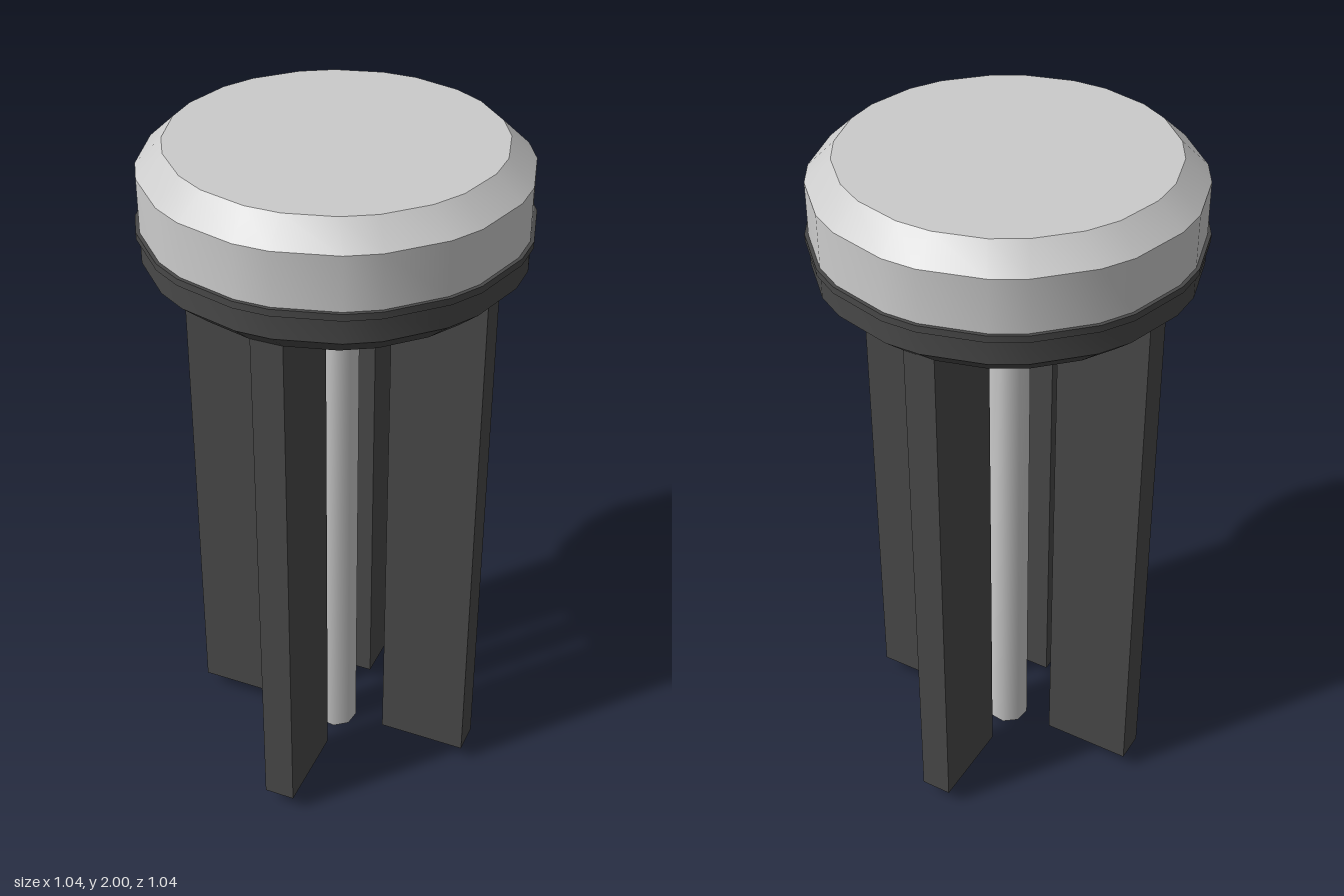
import * as THREE from 'three';
import { toCreasedNormals } from 'three/addons/utils/BufferGeometryUtils.js';

const light = new THREE.MeshStandardMaterial({ color: 0xcccccc });
const dark = new THREE.MeshStandardMaterial({ color: 0x484848 });

// Turned solid whose outline is a twelve-sided ring with narrow cut corners;
// the narrow facets keep the same width at every radius.
function facetedTurning(profile) {
  const points = profile.map(([r, y]) => new THREE.Vector2(r, y));
  const geometry = new THREE.LatheGeometry(points, 24);
  const pos = geometry.attributes.position;
  for (let i = 0; i <= 24; i++) {
    const sector = Math.floor(i / 2) * Math.PI / 6;
    const sign = i % 2 ? 1 : -1;
    points.forEach((p, j) => {
      const angle = sector + (p.x > 0 ? sign * Math.asin(0.048 / p.x) : 0);
      pos.setXYZ(i * points.length + j, p.x * Math.sin(angle), p.y, p.x * Math.cos(angle));
    });
  }
  return toCreasedNormals(geometry, 0.6);
}

function addMesh(parent, name, geometry, material) {
  const mesh = new THREE.Mesh(geometry, material);
  mesh.name = name;
  parent.add(mesh);
  return mesh;
}

export function createModel() {
  const model = new THREE.Group();
  model.name = 'finnedPlug';

  // Light cap with a chamfered top
  addMesh(model, 'cap', facetedTurning([
    [0, 1.785], [0.513, 1.785], [0.513, 1.935], [0.443, 2], [0, 2],
  ]), light);

  // Dark collar with a chamfered underside and a thin projecting rim
  addMesh(model, 'collar', facetedTurning([
    [0, 1.64], [0.443, 1.64], [0.513, 1.7], [0.513, 1.768],
    [0.523, 1.768], [0.523, 1.787], [0, 1.787],
  ]), dark);

  // Central rod, a little longer than the fins
  const rod = toCreasedNormals(new THREE.CylinderGeometry(0.063, 0.063, 1.66, 8), 0.9);
  addMesh(model, 'rod', rod, light).position.y = 0.83;

  // Four radial fins, standing clear of the rod
  const inner = 0.176, outer = 0.44, bottom = 0.05, top = 1.65;
  const finGeometry = new THREE.BoxGeometry(0.09, top - bottom, outer - inner);
  finGeometry.translate(0, (top + bottom) / 2, (outer + inner) / 2);
  for (let i = 0; i < 4; i++) {
    addMesh(model, 'fin' + (i + 1), finGeometry, dark).rotation.y = Math.PI / 6 + i * Math.PI / 2;
  }
  return model;
}
